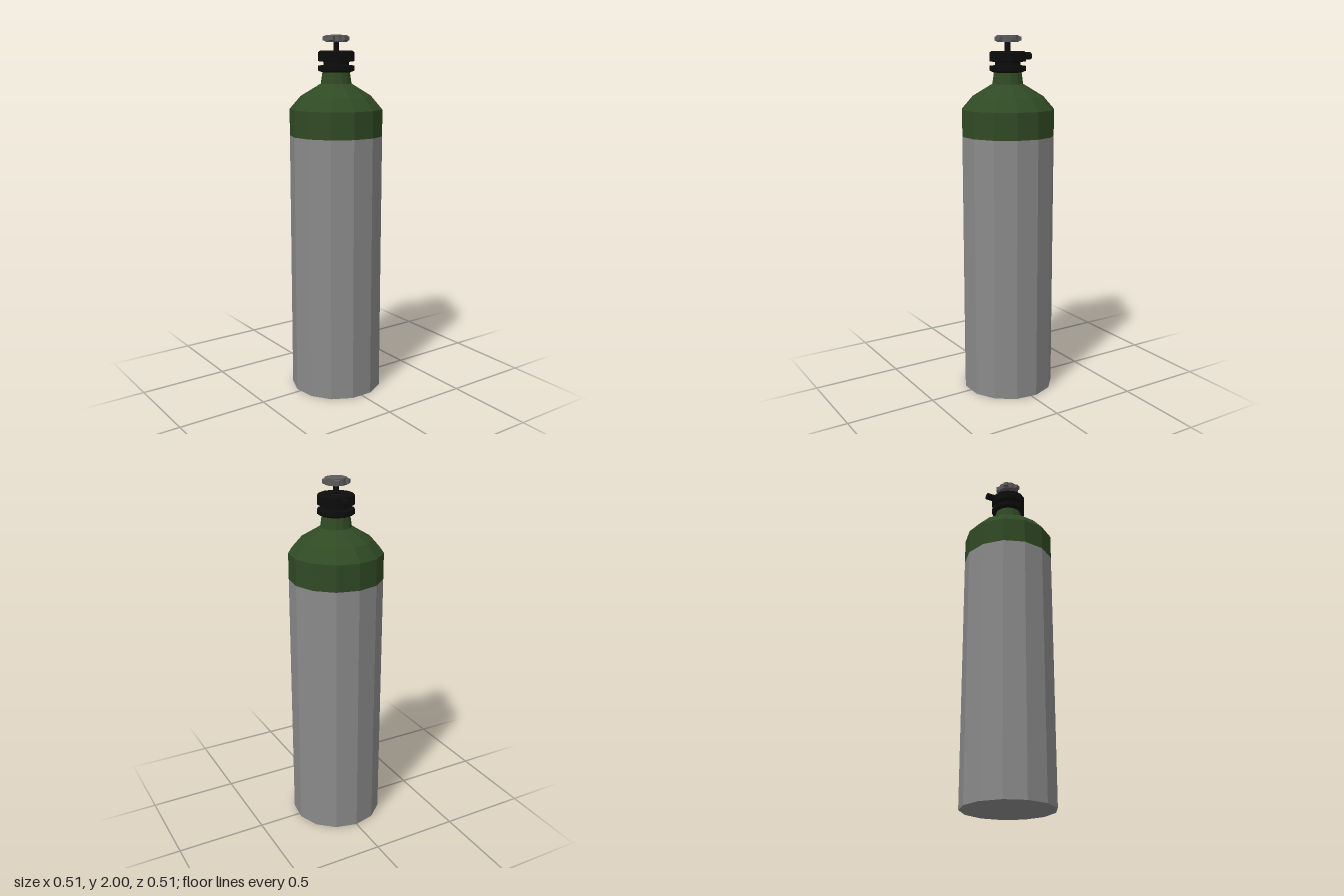
import * as THREE from 'three';

const SIDES = 13;

function material(name, color) {
  const m = new THREE.MeshStandardMaterial({ color, flatShading: true });
  m.name = name;
  return m;
}

export function createModel() {
  const group = new THREE.Group();
  group.name = 'gasCylinder';

  const steel = material('steelGrey', 0x8a8a8a);
  const green = material('darkGreen', 0x304a24);
  const black = material('valveBlack', 0x0c0c0c);
  const knobGrey = material('knobGrey', 0x5c5c5c);

  const add = (name, geometry, mat, parent = group) => {
    const mesh = new THREE.Mesh(geometry, mat);
    mesh.name = name;
    parent.add(mesh);
    return mesh;
  };

  // Faceted turned part, with one corner pointing to the back
  const turned = (name, profile, mat) => add(name, new THREE.LatheGeometry(
    profile.map(([r, y]) => new THREE.Vector2(r, y)), SIDES, Math.PI), mat);

  // Tank body and painted shoulder
  turned('tankBody', [[0, 0], [0.257, 0], [0.257, 1.46]], steel);
  turned('shoulder', [[0.257, 1.46], [0.257, 1.605], [0.196, 1.675], [0.085, 1.742],
    [0.075, 1.81], [0, 1.81]], green);

  // Valve: lower collar, groove and upper body
  turned('valve', [[0, 1.803], [0.08, 1.803], [0.1, 1.812], [0.1, 1.838], [0.07, 1.842],
    [0.07, 1.858], [0.1, 1.862], [0.1, 1.91], [0.088, 1.917], [0, 1.917]], black);
  turned('stem', [[0.016, 1.91], [0.016, 1.97]], black);

  // Outlet pipe at the back
  const outlet = add('outlet', new THREE.CylinderGeometry(0.02, 0.02, 0.087, 10), black);
  outlet.rotation.x = -Math.PI / 2;
  outlet.position.set(0, 1.89, -0.1035);

  // Hand knob: ten-sided core with five tapered grips
  const knob = new THREE.Group();
  knob.name = 'knob';
  knob.position.y = 1.982;
  knob.rotation.y = THREE.MathUtils.degToRad(-6);
  group.add(knob);
  add('knobCore', new THREE.CylinderGeometry(0.06, 0.06, 0.036, 10, 1, false, Math.PI / 10),
    knobGrey, knob);

  const gripShape = new THREE.BoxGeometry(0.024, 0.034, 0.034);
  const p = gripShape.attributes.position;
  for (let i = 0; i < p.count; i++) {
    if (p.getX(i) > 0) {
      p.setZ(i, p.getZ(i) * 0.8);
      p.setY(i, p.getY(i) * 0.6);
    }
  }
  gripShape.computeVertexNormals();
  for (let i = 0; i < 5; i++) {
    const a = i * Math.PI * 2 / 5;
    const grip = add('knobGrip', gripShape, knobGrey, knob);
    grip.position.set(Math.cos(a) * 0.061, 0, -Math.sin(a) * 0.061);
    grip.rotation.y = a;
  }

  return group;
}
